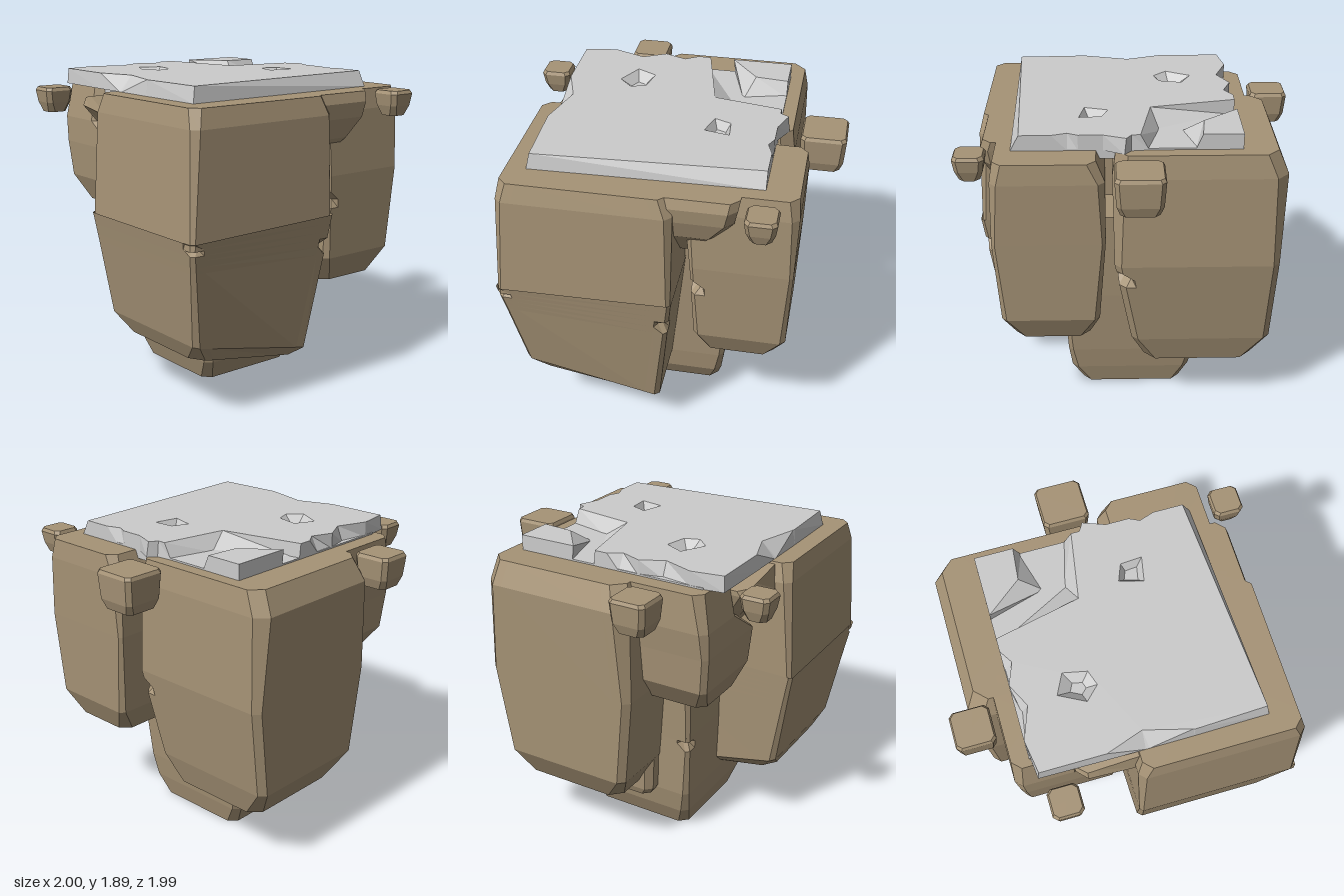
import * as THREE from 'three';

const stone = new THREE.MeshStandardMaterial({ color: 0xa69376, flatShading: true });
const grey = new THREE.MeshStandardMaterial({ color: 0xcccccc, flatShading: true });

function meshOf(pos, material, name) {
  const g = new THREE.BufferGeometry();
  g.setAttribute('position', new THREE.Float32BufferAttribute(pos, 3));
  g.computeVertexNormals();
  const m = new THREE.Mesh(g, material);
  m.name = name;
  return m;
}

// Wall between two rings of points that run clockwise as seen from above
function wall(out, upper, lower) {
  upper.forEach((at, i) => {
    const j = (i + 1) % upper.length;
    const bt = upper[j], al = lower[i], bl = lower[j];
    out.push(...al, ...at, ...bt, ...al, ...bt, ...bl);
  });
}

// Fan closing a convex ring, facing up or down
function cap(out, ring, up) {
  const c = [0, 1, 2].map(k => ring.reduce((s, p) => s + p[k], 0) / ring.length);
  ring.forEach((a, i) => {
    const b = ring[(i + 1) % ring.length];
    out.push(...c, ...(up ? b : a), ...(up ? a : b));
  });
}

// Chamfered rectangle: [y, x0, x1, z0, z1, chamfer, slope along z, slope along x].
// Each corner has two chamfer points and an anchor on either side, so a bite stays local.
function ringOf([y, x0, x1, z0, z1, c, slopeZ = 0, slopeX = 0], corner = -1, bite = 0) {
  const ex = Math.min(c + 0.06, (x1 - x0) * 0.4), ez = Math.min(c + 0.06, (z1 - z0) * 0.4);
  const corners = [[x0, z0, 1, 1], [x1, z0, -1, 1], [x1, z1, -1, -1], [x0, z1, 1, -1]];
  return corners.flatMap(([x, z, sx, sz], k) => {
    const b = k === corner ? bite : 0;
    const pts = [
      [x, z + sz * ez],
      [x + sx * b, z + sz * (c + b)],
      [x + sx * (c + b), z + sz * b],
      [x + sx * ex, z],
    ];
    return k % 2 ? pts.reverse() : pts;
  }).map(([x, z]) => [x, y + slopeZ * (z - z0) + slopeX * (x - x0), z]);
}

// Boulder from levels listed top to bottom; chips are [corner, y, bite]
function rock(name, levels, chips = []) {
  const rows = levels.map(l => ({ l, corner: -1, bite: 0 }));
  for (const [corner, y, bite] of chips) {
    const k = rows.findIndex(r => r.l[0] < y - 0.05);
    const a = rows[k - 1].l, b = rows[k].l;
    const at = h => {
      const t = (a[0] - h) / (a[0] - b[0]);
      return [0, 1, 2, 3, 4, 5, 6].map(n => THREE.MathUtils.lerp(a[n] ?? 0, b[n] ?? 0, t));
    };
    rows.splice(k, 0, { l: at(y + 0.05), corner: -1, bite: 0 },
      { l: at(y), corner, bite }, { l: at(y - 0.05), corner: -1, bite: 0 });
  }
  const rings = rows.map(r => ringOf(r.l, r.corner, r.bite));
  const body = [], under = [];
  cap(body, rings[0], true);
  for (let i = 1; i < rings.length; i++) wall(body, rings[i - 1], rings[i]);
  cap(under, rings[rings.length - 1], false);
  const g = new THREE.Group();
  g.name = name;
  g.add(meshOf(body, stone, name + 'Body'), meshOf(under, grey, name + 'Underside'));
  return g;
}

// Flat plate with a sloping rim and optional pits; outlines are [x, z] clockwise from above
function plate(name, top, base, yTop, yBase, pits = []) {
  const group = new THREE.Group();
  group.name = name;
  const lift = (pts, y) => pts.map(([x, z]) => [x, y, z]);
  const path = (pts, s) => pts.map(([x, z]) => new THREE.Vector2(x, s * z));
  const shape = new THREE.Shape(path(top, -1));
  const rim = [];
  wall(rim, lift(top, yTop), lift(base, yBase));
  for (const { edge, scale, depth } of pits) {
    shape.holes.push(new THREE.Path(path(edge, -1)));
    const cx = edge.reduce((s, p) => s + p[0], 0) / edge.length;
    const cz = edge.reduce((s, p) => s + p[1], 0) / edge.length;
    const floor = edge.map(([x, z]) => [cx + (x - cx) * scale, cz + (z - cz) * scale]);
    wall(rim, lift(edge, yTop).reverse(), lift(floor, yTop - depth).reverse());
    cap(rim, lift(floor, yTop - depth), true);
  }
  const upper = new THREE.Mesh(new THREE.ShapeGeometry(shape).rotateX(-Math.PI / 2), grey);
  upper.position.y = yTop;
  upper.name = name + 'Top';
  const lower = new THREE.Mesh(
    new THREE.ShapeGeometry(new THREE.Shape(path(base, 1))).rotateX(Math.PI / 2), grey);
  lower.position.y = yBase;
  lower.name = name + 'Bottom';
  group.add(upper, lower, meshOf(rim, grey, name + 'Rim'));
  return group;
}

export function createModel() {
  const model = new THREE.Group();
  model.name = 'floatingRockPlatform';

  // Main boulders
  model.add(
    rock('frontBoulder', [
      [1.8, -0.04, 0.88, -0.09, 0.86, 0.05],
      [1.69, -0.07, 0.91, -0.12, 0.88, 0.04],
      [1.05, -0.06, 0.93, -0.11, 0.915, 0.02],
      [0.28, -0.03, 0.83, -0.02, 0.82, 0.03, 0.22],
      [0.22, 0.07, 0.76, 0.0, 0.77, 0.07, 0.18],
    ], [[2, 1.06, 0.04], [1, 0.92, 0.04]]),
    rock('backRightBoulder', [
      [1.8, -0.83, 0.09, -0.68, 0.22, 0.07],
      [1.66, -0.89, 0.11, -0.7, 0.27, 0.07],
      [1.1, -0.87, 0.1, -0.71, 0.28, 0.04],
      [0.54, -0.85, 0.0, -0.63, 0.22, 0.04],
      [0.36, -0.75, -0.08, -0.58, 0.12, 0.07],
    ], [[1, 1.0, 0.04]]),
    rock('backLeftBoulder', [
      [1.8, 0.2, 0.77, -0.79, -0.1, 0.05],
      [1.68, 0.15, 0.79, -0.8, -0.16, 0.04],
      [1.3, 0.15, 0.8, -0.79, -0.2, 0.02],
      [0.78, 0.19, 0.77, -0.77, -0.22, 0.03],
      [0.62, 0.25, 0.7, -0.7, -0.26, 0.06],
    ], [[2, 1.15, 0.04]]),
    rock('core', [
      [1.28, -0.47, 0.45, -0.42, 0.45, 0.03],
      [0.68, -0.43, 0.42, -0.39, 0.43, 0.02],
      [0.28, -0.41, 0.4, -0.36, 0.41, 0.03],
      [0.13, -0.38, 0.38, -0.34, 0.39, 0.04],
      [0.0, -0.32, 0.31, -0.31, 0.35, 0.05],
    ], [[3, 0.66, 0.04]]),
    rock('innerBoulder', [
      [1.0, -0.55, 0.0, -0.32, 0.24, 0.05],
      [0.3, -0.51, 0.0, -0.3, 0.2, 0.04],
      [0.25, -0.49, 0.0, -0.27, 0.17, 0.04],
    ]),
    rock('frontRightBoulder', [
      [1.8, -0.73, -0.36, 0.1, 0.66, 0.05],
      [1.58, -0.74, -0.36, 0.1, 0.7, 0.04],
      [1.42, -0.72, -0.13, 0.1, 0.7, 0.03],
      [1.2, -0.7, -0.14, 0.1, 0.68, 0.03],
      [1.05, -0.6, -0.2, 0.15, 0.62, 0.05],
    ]),
    rock('frontWedge', [
      [1.73, -0.4, 0.05, 0.2, 0.77, 0.06, 0, 0.16],
      [1.7, -0.4, 0.05, 0.2, 0.79, 0.06, 0, -0.15],
      [1.58, -0.36, 0.05, 0.2, 0.71, 0.06],
      [1.42, -0.27, 0.05, 0.2, 0.58, 0.05],
    ]),
    rock('leftWedge', [
      [1.8, 0.4, 0.85, -0.48, 0.05, 0.05],
      [1.74, 0.4, 0.87, -0.47, 0.05, 0.05],
      [1.65, 0.4, 0.86, -0.45, 0.05, 0.05],
      [1.53, 0.4, 0.82, -0.36, 0.05, 0.05],
      [1.28, 0.3, 0.6, -0.2, 0.05, 0.05],
    ]),
  );

  // Small loose stones around the rim: x0, x1, z0, z1, bottom y
  for (const [x0, x1, z0, z1, y] of [
    [-1, -0.77, 0.24, 0.47, 1.6], [-0.59, -0.41, 0.81, 0.99, 1.65],
    [-0.18, 0.1, -1, -0.73, 1.57], [0.82, 1, -0.7, -0.52, 1.65],
  ]) {
    const level = (h, d, c) => [h, x0 + d, x1 - d, z0 + d, z1 - d, c];
    model.add(rock('looseStone', [
      level(1.8, 0.01, 0.025), level(1.78, 0, 0.025), level(y + 0.06, 0.01, 0.025), level(y, 0.03, 0.03),
    ]));
  }

  // Paving slab with chipped edges and two pits
  const slabTop = [[-0.63, -0.08], [-0.12, -0.19], [-0.05, -0.6], [0.0, -0.6], [0.03, -0.65], [0.16, -0.6],
    [0.3, -0.6], [0.36, -0.57], [0.45, -0.6], [0.63, -0.6], [0.7, 0.72], [0.28, 0.735], [0.27, 0.732], [0, 0.66],
    [-0.22, 0.735], [-0.6, 0.735], [-0.63, 0.54], [-0.56, 0.35], [-0.63, 0.21], [-0.58, 0.08], [-0.63, 0]];
  const slabBase = [[-0.63, -0.09], [-0.17, -0.33], [-0.1, -0.6], [0.0, -0.61], [0.04, -0.66], [0.16, -0.6],
    [0.3, -0.6], [0.36, -0.6], [0.45, -0.6], [0.68, -0.6], [0.715, 0.74], [0.28, 0.745], [0.02, 0.745], [0, 0.745],
    [-0.22, 0.745], [-0.61, 0.74], [-0.63, 0.54], [-0.6, 0.35], [-0.63, 0.21], [-0.63, 0.08], [-0.63, 0]];
  model.add(plate('slab', slabTop, slabBase, 1.893, 1.8, [
    { edge: [[-0.39, 0.34], [-0.33, 0.22], [-0.19, 0.25], [-0.16, 0.34], [-0.24, 0.42]], scale: 0.4, depth: 0.05 },
    { edge: [[0.13, -0.23], [0.17, -0.33], [0.3, -0.34], [0.27, -0.19]], scale: 0.55, depth: 0.05 },
  ]));

  // Broken-off corner and the bedding under the crack
  model.add(plate('slabCorner',
    [[-0.63, -0.23], [-0.63, -0.6], [-0.4, -0.6], [-0.42, -0.4]],
    [[-0.63, -0.24], [-0.63, -0.6], [-0.36, -0.6], [-0.29, -0.34]], 1.893, 1.8));
  const bedding = new THREE.Mesh(new THREE.BoxGeometry(1.3, 0.06, 1.22), grey);
  bedding.position.set(0.02, 1.78, 0.01);
  bedding.name = 'bedding';
  model.add(bedding);
  return model;
}
